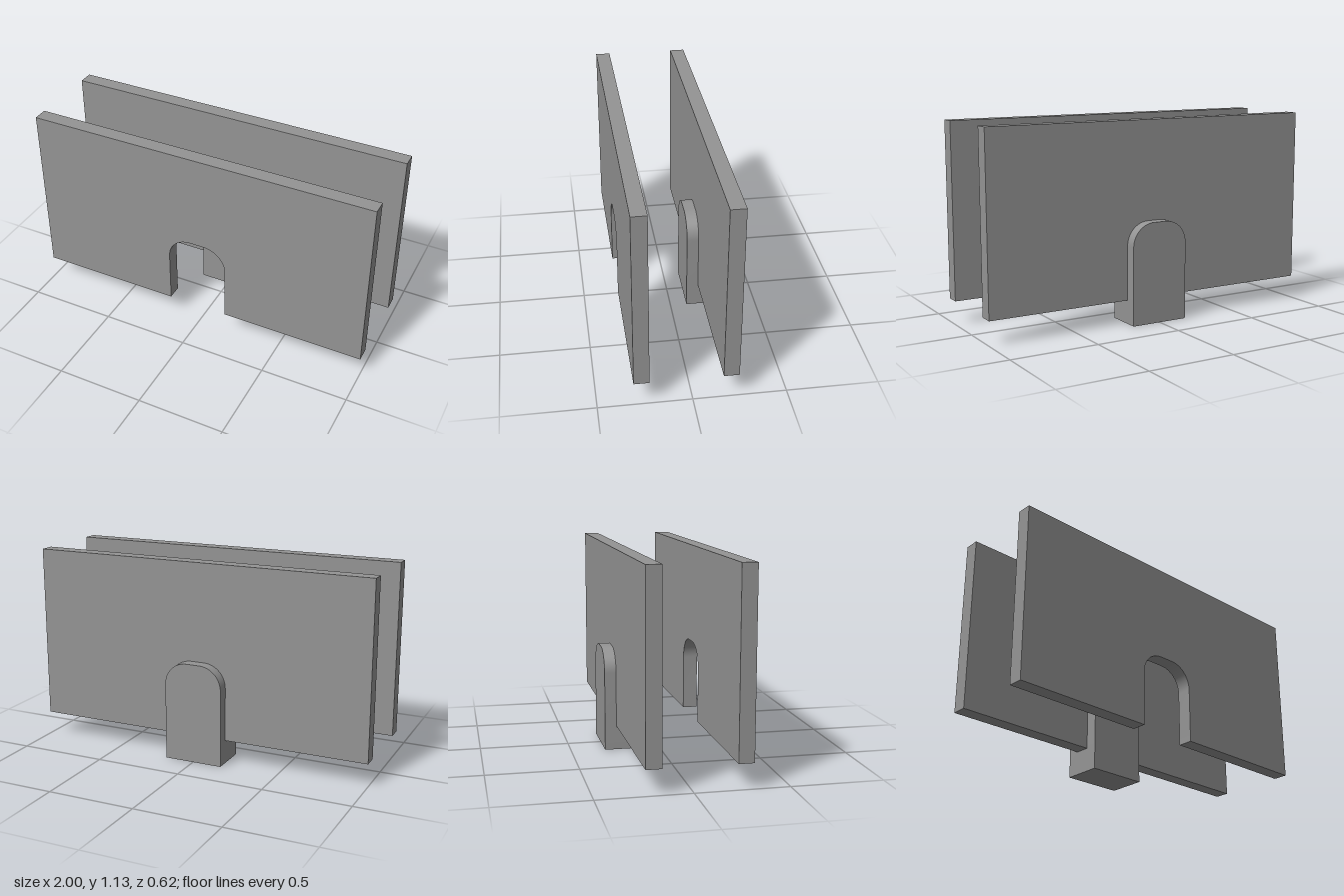
import * as THREE from 'three';
import { toCreasedNormals } from 'three/addons/utils/BufferGeometryUtils.js';

const PANEL = { half: 1, bottom: 0.135, top: 1.135, depth: 0.083 };

// Adds an upright arch with rounded shoulders to a path, from bottom left to bottom right
function traceArch(path, half, bottom, top, radius) {
  path.lineTo(-half, bottom);
  path.lineTo(-half, top - radius);
  path.absarc(-half + radius, top - radius, radius, Math.PI, Math.PI / 2, true);
  path.lineTo(half - radius, top);
  path.absarc(half - radius, top - radius, radius, Math.PI / 2, 0, true);
  path.lineTo(half, bottom);
}

// Extrudes a shape so that it is centred on the given z
function slab(name, shape, depth, z, material) {
  const extruded = new THREE.ExtrudeGeometry(shape, { depth, bevelEnabled: false, curveSegments: 8 });
  const mesh = new THREE.Mesh(toCreasedNormals(extruded, Math.PI / 6), material);
  mesh.name = name;
  mesh.position.z = z - depth / 2;
  return mesh;
}

export function createModel() {
  const group = new THREE.Group();
  group.name = 'archedPanels';
  const grey = new THREE.MeshStandardMaterial({ color: 0x949494 });
  grey.name = 'grey';

  // Front panel with the arched doorway cut from its lower edge
  const { half, bottom, top, depth } = PANEL;
  const front = new THREE.Shape();
  front.moveTo(-half, bottom);
  traceArch(front, 0.175, bottom, 0.578, 0.133);
  front.lineTo(half, bottom);
  front.lineTo(half, top);
  front.lineTo(-half, top);
  front.closePath();
  group.add(slab('frontPanel', front, depth, 0.268, grey));

  // Solid back panel
  const back = new THREE.Mesh(new THREE.BoxGeometry(2 * half, top - bottom, depth), grey);
  back.name = 'backPanel';
  back.position.set(0, (top + bottom) / 2, -0.203);
  group.add(back);

  // Arched block running through the back panel
  const arch = new THREE.Shape();
  arch.moveTo(0.17, 0);
  traceArch(arch, 0.17, 0, 0.573, 0.13);
  group.add(slab('archBlock', arch, 0.214, -0.202, grey));

  return group;
}
